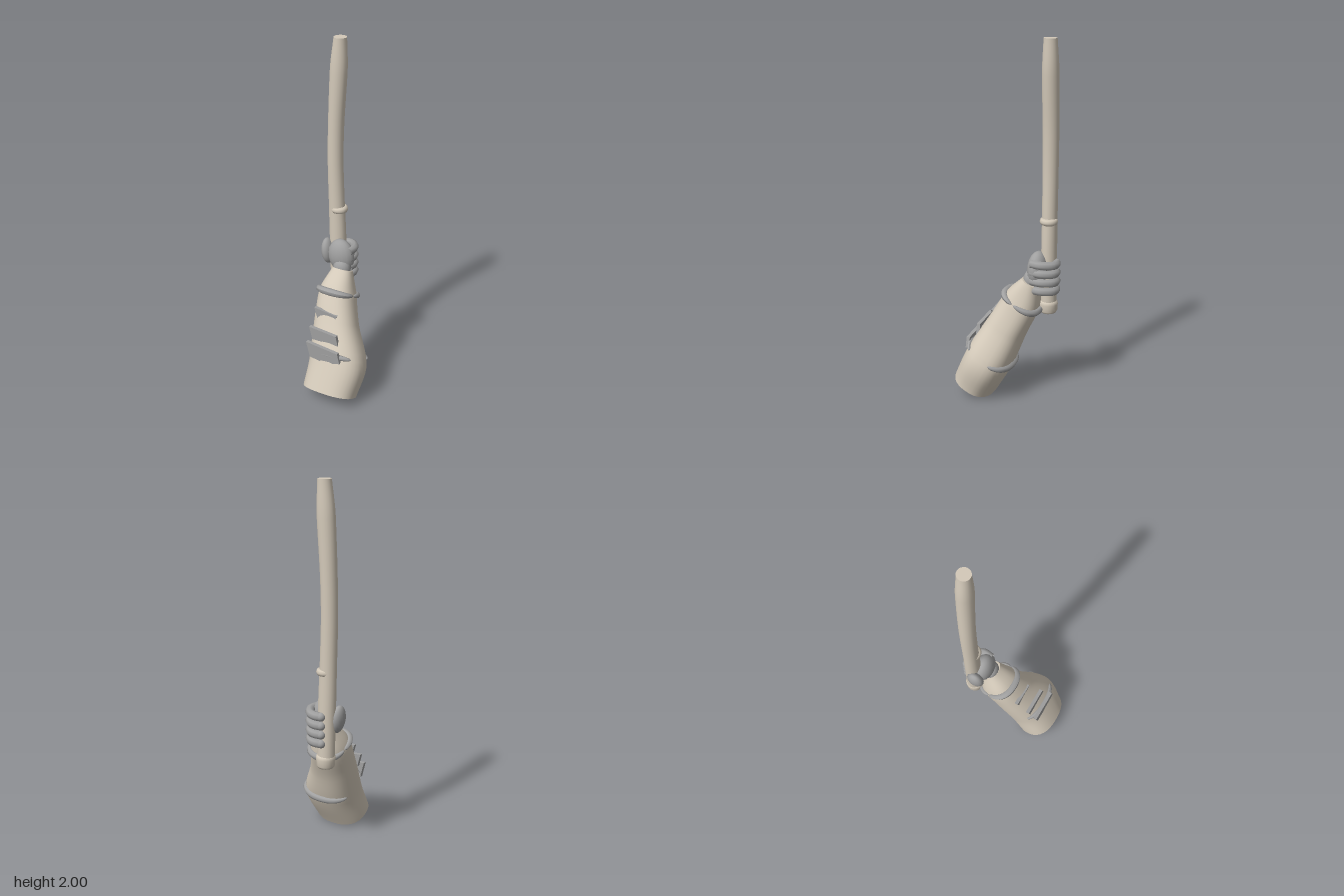
import * as THREE from 'three';
import { ParametricGeometry } from 'three/addons/geometries/ParametricGeometry.js';

const mat = (name, color) => {
  const m = new THREE.MeshStandardMaterial({ color, side: THREE.DoubleSide });
  m.name = name;
  return m;
};

// Stations are [x, y, z, halfWidth, halfDepth]; sections tilt up towards the front.
function sections(stations, tilt, power) {
  const centres = new THREE.CatmullRomCurve3(stations.map(s => new THREE.Vector3(s[0], s[1], s[2])), false, 'centripetal');
  const radii = new THREE.CatmullRomCurve3(stations.map(s => new THREE.Vector3(s[3], s[4], 0)), false, 'centripetal');
  const bend = c => Math.sign(c) * Math.pow(Math.abs(c), 2 / power);
  return (t, angle, scale = 1, grow = 0) => {
    const p = centres.getPoint(t), r = radii.getPoint(t);
    const d = bend(Math.sin(angle)) * (r.y * scale + grow);
    p.x += bend(Math.cos(angle)) * (r.x * scale + grow);
    p.y += d * Math.sin(tilt);
    p.z += d * Math.cos(tilt);
    return p;
  };
}

export function createModel() {
  const model = new THREE.Group();
  const cloth = mat('beige', 0xd3c9b9);
  const grey = mat('grey', 0xa0a0a0);
  const add = (name, geometry, material, parent = model) => {
    const mesh = new THREE.Mesh(geometry, material);
    mesh.name = name;
    parent.add(mesh);
    return mesh;
  };
  const TAU = Math.PI * 2;

  // Capped body running from the top station to the bottom one
  const loft = (name, at, slices, stacks, material) => {
    const g = new THREE.Group();
    g.name = name;
    model.add(g);
    add(name + 'Side', new ParametricGeometry((u, v, p) => p.copy(at(v, u * TAU)), slices, stacks), material, g);
    add(name + 'TopCap', new ParametricGeometry((u, v, p) => p.copy(at(0, u * TAU, v)), slices, 2), material, g);
    add(name + 'BottomCap', new ParametricGeometry((u, v, p) => p.copy(at(1, u * TAU, 1 - v)), slices, 2), material, g);
  };

  // Long curved staff
  loft('staff', sections([
    [-0.11, 2.0, -0.2, 0.035, 0.036],
    [-0.12, 1.81, -0.2, 0.048, 0.045],
    [-0.136, 1.5, -0.2, 0.044, 0.044],
    [-0.139, 1.3, -0.2, 0.044, 0.043],
    [-0.133, 1.05, -0.202, 0.046, 0.042],
    [-0.127, 0.85, -0.204, 0.049, 0.043],
    [-0.122, 0.5, -0.208, 0.047, 0.044],
  ], 0, 2), 20, 36, cloth);

  // Collar and flared butt of the staff
  const collar = add('staffCollar', new THREE.TorusGeometry(0.034, 0.016, 8, 24), cloth);
  collar.rotation.x = Math.PI / 2;
  collar.scale.z = 1.2;
  collar.position.set(-0.118, 1.02, -0.203);
  const butt = add('staffButt', new THREE.LatheGeometry([
    [0, 0], [0.042, 0], [0.05, 0.012], [0.05, 0.035], [0.053, 0.05], [0.05, 0.066], [0.04, 0.072],
  ].map(p => new THREE.Vector2(...p)), 20), cloth);
  butt.position.set(-0.12, 0.49, -0.207);

  // Sleeve, widening towards the elbow
  const sleeveAt = sections([
    [-0.055, 0.682, -0.13, 0.058, 0.05],
    [-0.055, 0.56, -0.078, 0.104, 0.103],
    [-0.025, 0.42, -0.008, 0.126, 0.112],
    [0.035, 0.215, 0.085, 0.165, 0.13],
    [0.026, 0.055, 0.168, 0.155, 0.121],
  ], 0.46, 2.4);
  loft('sleeve', sleeveAt, 32, 24, cloth);

  // Straps showing across the front and back of the sleeve
  const strap = (name, t, from, to, radius, grow) => {
    const pts = [];
    for (let i = 0; i <= 14; i++) pts.push(sleeveAt(t, from + (to - from) * i / 14, 1, grow));
    const curve = new THREE.CatmullRomCurve3(pts);
    // tapered tube: shrink each ring towards the path at both ends
    const geo = new THREE.TubeGeometry(curve, 28, radius, 8, false);
    const pos = geo.attributes.position, v = new THREE.Vector3();
    for (let i = 0; i < pos.count; i++) {
      const s = Math.floor(i / 9) / 28;
      const c = curve.getPointAt(s);
      v.fromBufferAttribute(pos, i).sub(c).multiplyScalar(Math.pow(Math.sin(Math.PI * s), 0.4) || 0).add(c);
      pos.setXYZ(i, v.x, v.y, v.z);
    }
    geo.computeVertexNormals();
    add(name, geo, grey);
  };
  strap('wristStrapFront', 0.25, 0.15, Math.PI + 0.1, 0.021, 0.002);
  strap('wristStrapBack', 0.25, Math.PI + 0.1, TAU + 0.1, 0.02, 0.002);
  strap('elbowStrapFront', 0.7, 0.75, Math.PI - 0.6, 0.018, 0.002);
  strap('elbowStrapBack', 0.7, Math.PI + 0.5, TAU - 0.25, 0.02, 0.0);

  // Overlapping plates on the front of the sleeve
  [
    [0.06, [[-0.122, 0.52], [0.022, 0.502], [0.0, 0.455], [-0.1, 0.443]]],
    [0.132, [[-0.115, 0.435], [0.055, 0.42], [0.068, 0.362], [-0.095, 0.358]]],
    [0.18, [[-0.108, 0.365], [0.09, 0.345], [0.105, 0.285], [0.02, 0.258], [-0.085, 0.272]]],
  ].forEach(([z, corners], i) => {
    const shape = new THREE.Shape(corners.map(c => new THREE.Vector2(...c)));
    const plate = add('armPlate' + (i + 1), new THREE.ExtrudeGeometry(shape, { depth: 0.02, bevelEnabled: false }), grey);
    plate.position.z = z;
  });

  // Hand gripping the staff
  const hand = new THREE.Group();
  hand.name = 'hand';
  model.add(hand);
  const blob = (name, x, y, z, rx, ry, rz, tilt = 0) => {
    const m = add(name, new THREE.SphereGeometry(1, 16, 12), grey, hand);
    m.position.set(x, y, z);
    m.scale.set(rx, ry, rz);
    m.rotation.z = tilt;
  };
  blob('palm', -0.079, 0.75, -0.158, 0.08, 0.102, 0.056, 0.1);
  blob('wrist', -0.06, 0.69, -0.13, 0.052, 0.06, 0.046);
  blob('thumb', -0.17, 0.757, -0.165, 0.034, 0.078, 0.05, 0.12);

  // Four fingers wrapping round the back of the staff
  for (let i = 0; i < 4; i++) {
    const y = 0.79 - i * 0.05;
    const path = new THREE.CatmullRomCurve3([
      [-0.025, y + 0.005, -0.14], [-0.02, y + 0.005, -0.2], [-0.055, y, -0.25], [-0.09, y - 0.003, -0.258], [-0.12, y - 0.005, -0.25],
    ].map(p => new THREE.Vector3(...p)));
    add('finger' + (i + 1), new THREE.TubeGeometry(path, 14, 0.024, 8, false), grey, hand);
    const tip = path.getPoint(1);
    blob('fingertip' + (i + 1), tip.x, tip.y, tip.z, 0.024, 0.024, 0.024);
  }
  return model;
}
